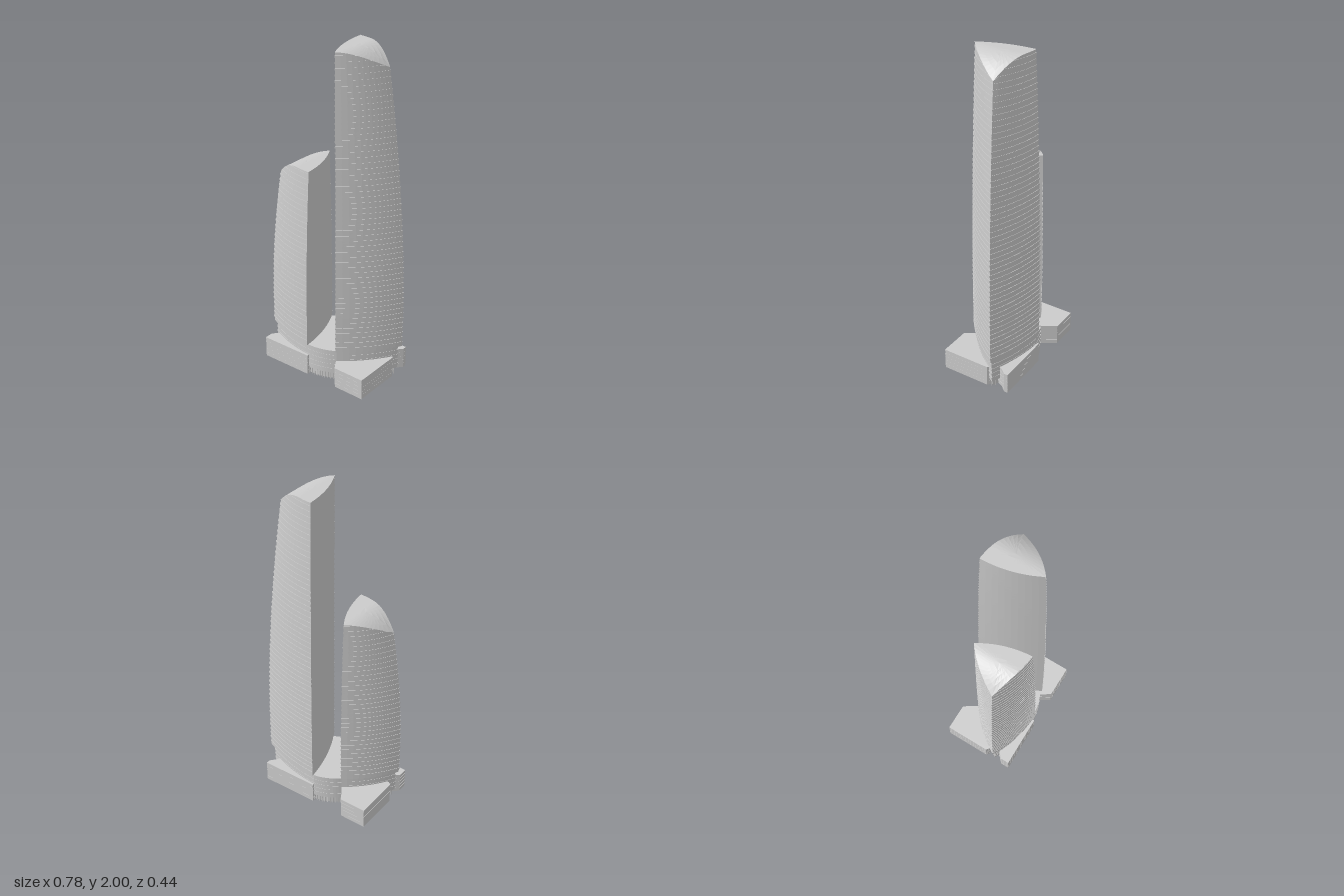
import * as THREE from 'three';

const material = new THREE.MeshStandardMaterial({ color: 0xcccccc, flatShading: true });
const V = (x, z) => new THREE.Vector2(x, z); // plan point: x, z

// Outward bowed side from a to b (plan outlines run counter-clockwise seen from above)
function bow(a, b, bulge, n = 10) {
  const d = b.clone().sub(a).normalize();
  const mid = a.clone().add(b).multiplyScalar(0.5).add(V(-d.y, d.x).multiplyScalar(2 * bulge));
  return new THREE.QuadraticBezierCurve(a, mid, b).getPoints(n);
}

// Skin over a stack of closed rings of equal length
function loft(rings) {
  const n = rings[0].length, index = [];
  for (let r = 0; r < rings.length - 1; r++) {
    for (let i = 0; i < n; i++) {
      const j = (i + 1) % n, a = r * n + i, b = r * n + j;
      index.push(a, b, b + n, a, b + n, a + n);
    }
  }
  let g = new THREE.BufferGeometry().setFromPoints(rings.flat());
  g.setIndex(index);
  g = g.toNonIndexed();
  g.computeVertexNormals();
  return g;
}

// Upright prism from a plan outline
function prism(name, outline, y0, y1) {
  const g = new THREE.ExtrudeGeometry(new THREE.Shape(outline), { depth: y1 - y0, bevelEnabled: false });
  g.rotateX(Math.PI / 2).translate(0, y1, 0);
  const m = new THREE.Mesh(g, material);
  m.name = name;
  return m;
}

const scaled = (pts, s) => {
  const c = pts.reduce((t, p) => t.add(p), V(0, 0)).divideScalar(pts.length);
  return pts.map((p) => p.clone().sub(c).multiplyScalar(s).add(c));
};

// Prism with thin projecting floor bands
function banded(name, outline, y0, y1, count, grow) {
  const group = new THREE.Group();
  group.name = name;
  group.add(prism('walls', outline, y0, y1));
  const step = (y1 - y0) / count;
  for (let i = 0; i < count; i++) {
    const top = y1 - i * step;
    group.add(prism('floorBand', scaled(outline, grow), top - step * 0.4, top));
  }
  return group;
}

// Tower on a bowed triangle: two ribbed outer sides, one smooth inner side
function tower(name, { base, top, height, roofStart, roofEnd }) {
  const y0 = 0.2, floor = 0.033, fin = 1.018;
  const sections = (y) => {
    const f = Math.pow(Math.max(0, (y - 0.4) / (height - 0.4)), 1.8);
    const c = base.map((p, i) => p.clone().lerp(top[i], f));
    const centre = c[0].clone().add(c[1]).add(c[2]).divideScalar(3);
    return { centre, sides: [0, 1, 2].map((i) => bow(c[i], c[(i + 1) % 3], 0.02)) };
  };
  // Level near the inner side, curving down to the outer corner
  const roofY = (x) => {
    const t = Math.max(0, (x - roofStart) / (roofEnd - roofStart));
    return height - 0.1 * t * t;
  };
  const ring = (y, out) => {
    const pts = [];
    for (let s = 0; s < 3; s++) {
      for (let i = 0; i <= 10; i++) {
        let h = y, p;
        for (let k = 0; k < 5; k++) {
          const sec = sections(h);
          p = sec.sides[s][i].clone();
          if (out && s < 2) p.sub(sec.centre).multiplyScalar(fin).add(sec.centre);
          h = Math.min(y, roofY(p.x));
        }
        pts.push(new THREE.Vector3(p.x, h, p.y));
      }
    }
    return pts;
  };
  const rings = [];
  for (let y = y0; y < height - 0.01; y += floor) {
    const a = Math.min(y + 0.022, height), b = Math.min(y + floor, height);
    rings.push(ring(y, false), ring(a, false), ring(a, true), ring(b, true));
  }
  rings.push(ring(height, false));

  // Roof: the top ring drawn in to its centre along the roof curve
  const edge = rings[rings.length - 1];
  const mid = edge.reduce((t, p) => t.add(p), new THREE.Vector3()).divideScalar(edge.length);
  const roof = [1, 0.75, 0.5, 0.25, 0].map((s) => edge.map((p) => {
    const q = p.clone().sub(mid).multiplyScalar(s).add(mid);
    q.y = s === 1 ? p.y : roofY(q.x);
    return q;
  }));

  const group = new THREE.Group();
  group.name = name;
  const walls = new THREE.Mesh(loft(rings), material);
  walls.name = 'ribbedWalls';
  const cap = new THREE.Mesh(loft(roof), material);
  cap.name = 'curvedRoof';
  group.add(walls, cap);
  return group;
}

export function createModel() {
  const model = new THREE.Group();
  model.name = 'twinTowers';

  // Towers: two inner corners, with the outer corner in the middle
  model.add(tower('tallTower', {
    base: [V(0.125, 0.165), V(0.386, -0.13), V(0.003, -0.218)],
    top: [V(0.1, 0.14), V(0.266, -0.088), V(0.016, -0.18)],
    height: 2, roofStart: 0.1, roofEnd: 0.28,
  }));
  model.add(tower('shortTower', {
    base: [V(-0.15, -0.14), V(-0.391, 0.118), V(-0.052, 0.213)],
    top: [V(-0.155, -0.128), V(-0.318, 0.088), V(-0.056, 0.175)],
    height: 1.3, roofStart: -0.15, roofEnd: -0.335,
  }));

  // Drum joining both towers
  const q2 = V(-0.368, 0.117), q1 = V(-0.05, 0.2), p3 = V(0.12, 0.152);
  const p2 = V(0.362, -0.123), p1 = V(0, -0.205), q3 = V(-0.148, -0.132);
  const frontArc = bow(q1, p3, 0.012), backArc = bow(p1, q3, 0.012);
  const drum = [bow(q2, q1, 0.018), frontArc, bow(p3, p2, 0.018),
    bow(p2, p1, 0.018), backArc, bow(q3, q2, 0.018)].flatMap((s) => s.slice(0, -1));
  model.add(banded('drum', drum, 0.045, 0.2, 5, 1.008));
  model.add(prism('groundFloor', scaled(drum, 0.93), 0, 0.05));

  // Podium blocks at the four corners
  const blocks = {
    backRightBlock: [V(-0.373, -0.22), V(-0.21, -0.22), V(-0.15, -0.13), V(-0.28, 0.06), V(-0.355, 0.07), V(-0.373, 0.055)],
    frontRightBlock: [V(-0.373, 0.22), V(-0.05, 0.215), V(-0.05, 0.15), V(-0.3, 0.08), V(-0.34, 0.135), V(-0.373, 0.167)],
    frontLeftBlock: [V(0.354, 0.215), V(0.158, 0.215), V(0.11, 0.14), V(0.28, -0.06), V(0.335, -0.1), V(0.354, -0.083)],
    backLeftBlock: [V(0.35, -0.224), V(0.002, -0.218), V(0.002, -0.15), V(0.28, -0.08), V(0.32, -0.165), V(0.35, -0.2)],
  };
  for (const [name, outline] of Object.entries(blocks)) {
    model.add(banded(name, outline, 0, 0.13, 5, 1.006));
  }

  // Thin columns under the open edges of the drum
  const columnGeometry = new THREE.CylinderGeometry(0.003, 0.003, 0.05, 8);
  const corners = [V(0.355, -0.115), V(0.34, -0.13), V(-0.36, 0.11), V(-0.345, 0.12)];
  for (const p of [...frontArc, ...backArc, ...corners]) {
    const column = new THREE.Mesh(columnGeometry, material);
    column.name = 'column';
    column.position.set(p.x * 0.97, 0.025, p.y * 0.97);
    model.add(column);
  }
  return model;
}
